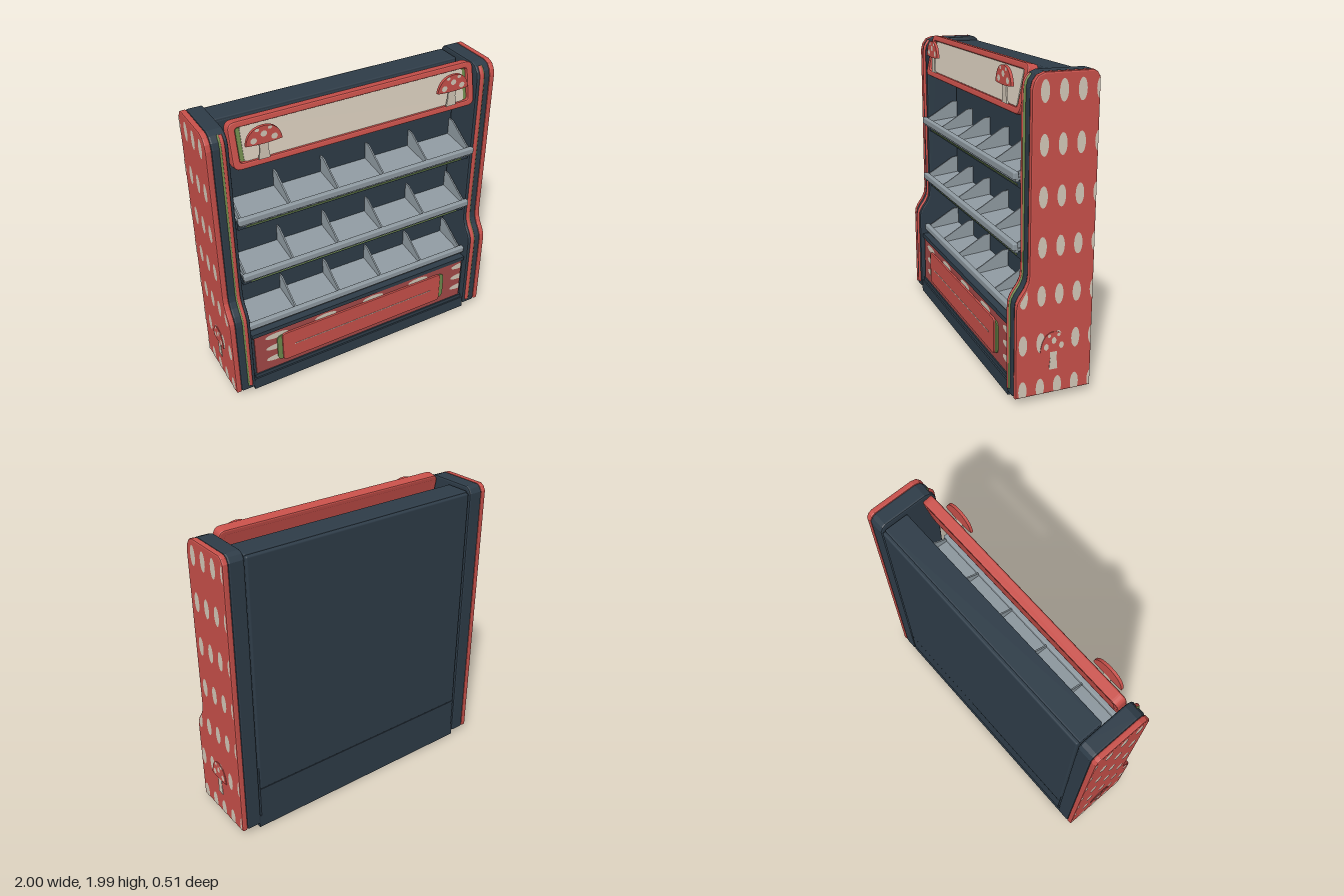
import * as THREE from 'three';
import { RoundedBoxGeometry } from 'three/addons/geometries/RoundedBoxGeometry.js';

const mat = (name, color) => {
  const m = new THREE.MeshStandardMaterial({ color });
  m.name = name;
  return m;
};

export function createModel() {
  const red = mat('red', 0xc8504a), panelRed = mat('deep red', 0xa34947);
  const dark = mat('dark slate', 0x2e3c48), grey = mat('shelf grey', 0x8f9aa1);
  const cream = mat('cream', 0xd3c8b8), green = mat('green', 0x6f8a4c);

  const model = new THREE.Group();
  model.name = 'displayShelf';

  const add = (parent, name, geo, material, x = 0, y = 0, z = 0) => {
    const mesh = new THREE.Mesh(geo, material);
    mesh.name = name;
    mesh.position.set(x, y, z);
    parent.add(mesh);
    return mesh;
  };
  // Box given by its limits
  const box = (name, material, x0, x1, y0, y1, z0, z1, r = 0) => {
    const s = [x1 - x0, y1 - y0, z1 - z0];
    const geo = r ? new RoundedBoxGeometry(...s, 2, r) : new THREE.BoxGeometry(...s);
    return add(model, name, geo, material, (x0 + x1) / 2, (y0 + y1) / 2, (z0 + z1) / 2);
  };
  const polygon = pts => new THREE.Shape(pts.map(p => new THREE.Vector2(...p)));
  const extrude = (shape, depth, bevel = 0) => new THREE.ExtrudeGeometry(shape, {
    depth: depth - 2 * bevel, bevelEnabled: bevel > 0, bevelThickness: bevel,
    bevelSize: bevel, bevelOffset: -bevel, bevelSegments: 2, curveSegments: 8,
  }).translate(0, 0, bevel);
  // Extrusion of a (z, y) outline between two x limits
  const slab = (name, material, shape, x0, x1, bevel = 0) =>
    add(model, name, extrude(shape, x1 - x0, bevel).rotateY(-Math.PI / 2), material, x1);
  const roundRect = (w, h, r, path = new THREE.Shape()) => {
    const x = w / 2, y = h / 2;
    path.moveTo(-x + r, -y).lineTo(x - r, -y).quadraticCurveTo(x, -y, x, -y + r)
      .lineTo(x, y - r).quadraticCurveTo(x, y, x - r, y)
      .lineTo(-x + r, y).quadraticCurveTo(-x, y, -x, y - r)
      .lineTo(-x, -y + r).quadraticCurveTo(-x, -y, -x + r, -y);
    return path;
  };
  // Flat oval whose points may be clamped to a border
  const oval = (cx, cy, rx, ry, clamp = p => p) => {
    const pts = [];
    for (let i = 0; i < 20; i++) {
      const a = i / 20 * Math.PI * 2;
      pts.push(clamp([cx + rx * Math.cos(a), cy + ry * Math.sin(a)]));
    }
    return new THREE.ShapeGeometry(polygon(pts));
  };

  // Mushroom emblem, origin at the middle of the cap's lower edge
  const mushroom = (name, scale, depth) => {
    const g = new THREE.Group();
    g.name = name;
    const cap = new THREE.Shape();
    cap.moveTo(-0.115, 0.005).quadraticCurveTo(-0.1, 0.11, 0, 0.112)
      .quadraticCurveTo(0.1, 0.11, 0.115, 0.005).quadraticCurveTo(0, -0.01, -0.115, 0.005);
    const stem = polygon([[-0.036, -0.105], [0.036, -0.105], [0.027, -0.04], [0.03, 0], [-0.03, 0], [-0.027, -0.04]]);
    add(g, 'mushroomStem', extrude(stem, depth * 0.6), cream);
    add(g, 'mushroomCap', extrude(cap, depth), red);
    for (const [x, y] of [[0, 0.062], [-0.065, 0.03], [0.065, 0.03], [-0.04, 0.092], [0.04, 0.092]])
      add(g, 'capSpot', oval(x, y, y > 0.09 ? 0.014 : 0.02, y > 0.09 ? 0.01 : 0.019), cream, 0, 0, depth + 0.001);
    g.scale.set(scale, scale, 1);
    model.add(g);
    return g;
  };

  // Carcass
  box('base', dark, -0.86, 0.86, 0, 0.09, -0.245, 0.232);
  box('lowerCabinet', dark, -0.845, 0.845, 0.08, 0.475, -0.245, 0.205);
  box('backBody', dark, -0.845, 0.845, 0.31, 1.925, -0.25, -0.06, 0.012);
  box('lowerBackPanel', dark, -0.845, 0.845, 0.09, 0.308, -0.248, -0.06);
  box('topCover', dark, -0.845, 0.845, 1.85, 1.935, -0.228, -0.062, 0.008);
  box('cabinetLip', dark, -0.845, 0.845, 0.445, 0.475, 0.18, 0.222);
  box('kickRail', dark, -0.845, 0.845, 0.085, 0.118, 0.18, 0.222);

  // Side walls, trim and painted spots
  const front = [[0.24, 0.04], [0.24, 0.61], [0.235, 0.645], [0.217, 0.68], [0.185, 0.725],
    [0.166, 0.765], [0.16, 0.81], [0.16, 1.87], [0.15, 1.91], [0.125, 1.945], [0.085, 1.96]];
  const outline = polygon([[-0.252, 0.04], ...front, [-0.21, 1.96], [-0.235, 1.945], [-0.252, 1.915]]);
  const clampSpot = ([z, y]) => {
    const edge = y < 0.63 ? 0.23 : Math.max(0.152, 0.23 - (y - 0.63) * 0.6);
    return [Math.max(-0.246, Math.min(edge, z)), Math.max(0.048, y)];
  };
  const trimPath = dz => new THREE.CatmullRomCurve3(
    [[0.24, 0.07], [0.24, 0.35], ...front.slice(1, 8), [0.153, 1.905], [0.125, 1.94]]
      .map(([z, y]) => new THREE.Vector3(0, y, z + dz)), false, 'centripetal');
  for (const s of [-1, 1]) {
    const pair = (a, b) => s > 0 ? [a, b] : [-b, -a];
    slab('sidePost', dark, outline, ...pair(0.854, 0.958), 0.012);
    slab('sidePanel', red, outline, ...pair(0.956, 0.995), 0.01);
    add(model, 'redTrim', new THREE.TubeGeometry(trimPath(0), 70, 0.014, 8), red, s * 0.89);
    add(model, 'greenTrim', new THREE.TubeGeometry(trimPath(-0.003), 70, 0.011, 8), green, s * 0.9);
    const spots = new THREE.Group();
    spots.name = 'sideSpots';
    model.add(spots);
    for (let row = 0; row < 7; row++) {
      const y = 0.085 + row * 0.2955;
      for (const z of [-0.254, -0.142, -0.029, 0.084, 0.197]) {
        if (z > 0.15 && row > 2) continue;
        const geo = oval(s > 0 ? -z : z, y, 0.027, 0.064, ([a, b]) => {
          const [cz, cy] = clampSpot([s > 0 ? -a : a, b]);
          return [s > 0 ? -cz : cz, cy];
        });
        add(spots, 'spot', geo.rotateY(s * Math.PI / 2), cream, s * 0.9965);
      }
    }
    const emblem = mushroom('sideMushroom', 0.76, 0.005);
    emblem.scale.y = 1.12;
    emblem.rotation.y = s * Math.PI / 2;
    emblem.position.set(s * 0.9955, 0.315, 0);
    // Mushroom on the header
    mushroom('headerMushroom', 1, 0.018).position.set(s * 0.65, 1.848, 0.166);
  }

  // Tilted header sign
  const header = new THREE.Group();
  header.name = 'headerSign';
  header.position.set(0, 1.838, 0.108);
  header.rotation.x = -0.21;
  model.add(header);
  const frame = roundRect(1.68, 0.29, 0.05);
  frame.holes.push(roundRect(1.59, 0.21, 0.02, new THREE.Path()));
  add(header, 'headerFrame', extrude(frame, 0.07, 0.01), red, 0, 0, -0.035);
  add(header, 'headerBack', new THREE.BoxGeometry(1.62, 0.24, 0.045), red, 0, 0, -0.0115);
  add(header, 'headerGreenBorder', extrude(roundRect(1.58, 0.2, 0.02), 0.006), green, 0, 0, 0.011);
  add(header, 'headerCreamPanel', extrude(roundRect(1.53, 0.208, 0.015), 0.006), cream, 0, 0, 0.015);

  // Shelves with rails and sloping dividers
  [1.36, 0.935, 0.525].forEach((y, i) => {
    slab('shelfBoard', grey, polygon([[-0.062, y], [0.17, y - 0.025], [0.17, y - 0.01], [-0.062, y + 0.015]]), -0.845, 0.845);
    box('shelfRail', grey, -0.852, 0.852, y - 0.02, y + 0.025, 0.168, 0.203, 0.008);
    box('railLip', grey, -0.845, 0.845, y - 0.034, y - 0.018, 0.165, 0.188);
    const side = polygon([[-0.062, y], [0.168, y - 0.02], [0.168, y + 0.02], [0.13, y + 0.04],
      [-0.015, y + 0.128], [-0.03, y + 0.132], [-0.062, y + 0.132]]);
    for (let k = 0; k < 6; k++) {
      const x = -0.83 + k * 0.3315;
      slab('divider', grey, side, x - 0.005, x + 0.005);
    }
    if (i < 2) {
      box('shelfSupport', dark, -0.845, 0.845, y - 0.08, y - 0.035, -0.06, 0.15);
      box('greenStrip', green, -0.79, 0.79, y - 0.071, y - 0.064, 0.148, 0.154);
    }
  });

  // Lower front panel and plaque
  box('frontPanel', panelRed, -0.83, 0.83, 0.12, 0.442, 0.19, 0.215);
  const clampX = ([x, y]) => [Math.max(-0.825, Math.min(0.825, x)), y];
  const frontSpots = [[-0.3, 0.405], [0.075, 0.405], [0.45, 0.405]];
  for (const y of [0.4, 0.303, 0.207]) frontSpots.push([-0.67, y], [0.825, y]);
  for (const [x, y] of frontSpots)
    add(model, 'frontSpot', oval(x, y, 0.083, 0.023, clampX), cream, 0, 0, 0.2165);
  add(model, 'plaqueBorder', extrude(roundRect(1.34, 0.215, 0.04), 0.008), green, 0, 0.282, 0.216);
  add(model, 'plaque', extrude(roundRect(1.27, 0.236, 0.03), 0.016, 0.004), red, 0, 0.282, 0.218);
  box('plaqueLine', cream, -0.55, 0.55, 0.278, 0.283, 0.231, 0.236);

  return model;
}
